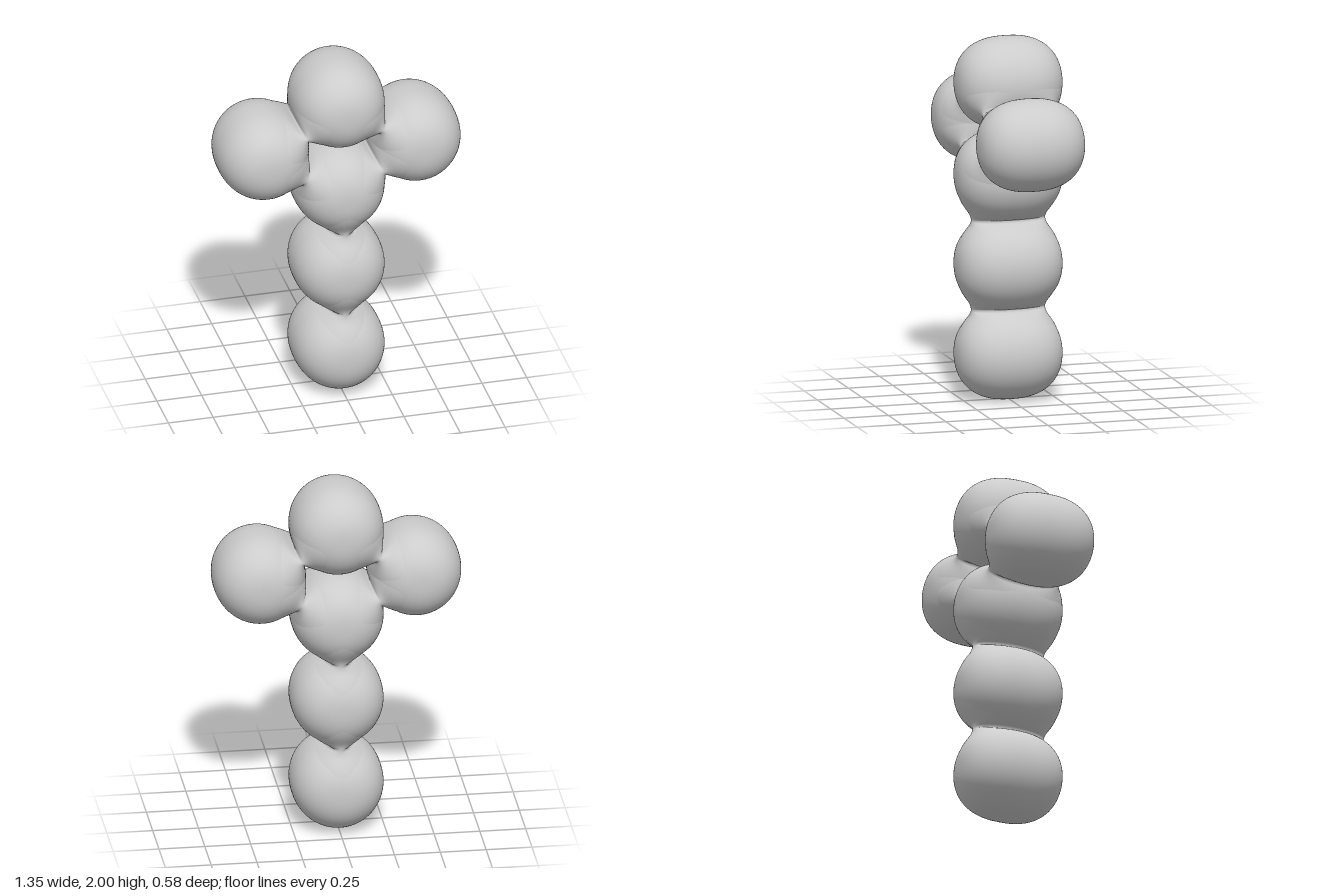
import * as THREE from 'three';

const R = 0.253;      // lobe radius across
const DEPTH = 0.291;  // lobe half depth along z
const N = 2.4;        // roundness of the lobe profile

// Half depth of a lobe at distance d from its axis
const lobeDepth = (d) => DEPTH * Math.pow(Math.max(0, 1 - Math.pow(d / R, N)), 1 / N);
// Smooth maximum of two lengths
const blend = (a, b, p) => Math.pow(Math.pow(a, p) + Math.pow(b, p), 1 / p);

// Slightly squared ellipsoid, round when seen along z
function lobeGeometry() {
  const profile = [];
  const steps = 48;
  for (let i = 0; i <= steps; i++) {
    const a = -Math.PI / 2 + (Math.PI * i) / steps;
    const c = Math.max(0, Math.cos(a));
    const s = Math.sin(a);
    profile.push(new THREE.Vector2(
      i === 0 || i === steps ? 0 : R * Math.pow(c, 2 / N),
      DEPTH * Math.sign(s) * Math.pow(Math.abs(s), 2 / N)
    ));
  }
  return new THREE.LatheGeometry(profile, 72).rotateX(Math.PI / 2);
}

// Saddle-shaped web: elliptical sections along y, pinched midway between two lobes
function neckGeometry(span) {
  const rows = 40, cols = 56, reach = 0.19;
  const positions = [], index = [];
  for (let i = 0; i <= rows; i++) {
    const t = -reach + (2 * reach * i) / rows;
    const d = span / 2 - Math.abs(t);
    const sink = 1 - 0.02 * Math.pow(Math.abs(t) / reach, 1.5);
    const halfWidth = blend(Math.sqrt(Math.max(0, R * R - d * d)), 0.048, 4) * sink;
    const halfDepth = blend(lobeDepth(d), 0.208, 8) * sink;
    for (let j = 0; j < cols; j++) {
      const a = (j / cols) * Math.PI * 2;
      positions.push(halfWidth * Math.sin(a), t, halfDepth * Math.cos(a));
    }
  }
  for (let i = 0; i < rows; i++) {
    for (let j = 0; j < cols; j++) {
      const k = (j + 1) % cols;
      const a = i * cols + j, b = i * cols + k;
      index.push(a, b, b + cols, a, b + cols, a + cols);
    }
  }
  const geometry = new THREE.BufferGeometry();
  geometry.setAttribute('position', new THREE.Float32BufferAttribute(positions, 3));
  geometry.setIndex(index);
  geometry.computeVertexNormals();
  return geometry;
}

export function createModel() {
  const model = new THREE.Group();
  model.name = 'lobedCross';
  const material = new THREE.MeshStandardMaterial({ color: 0xcccccc });

  const centres = {
    baseLobe: [0, R],
    stemLobe: [0, 0.747],
    middleLobe: [0, 1.239],
    topLobe: [0, 2 - R],
    leftLobe: [0.424, 1.482],
    rightLobe: [-0.424, 1.482],
  };

  // Lobes
  const shape = lobeGeometry();
  for (const [name, [x, y]] of Object.entries(centres)) {
    const lobe = new THREE.Mesh(shape, material);
    lobe.name = name;
    lobe.position.set(x, y, 0);
    model.add(lobe);
  }

  // Webs joining neighbouring lobes
  const joints = [
    ['lowerNeck', 'baseLobe', 'stemLobe'],
    ['upperNeck', 'stemLobe', 'middleLobe'],
    ['leftLowerNeck', 'middleLobe', 'leftLobe'],
    ['rightLowerNeck', 'middleLobe', 'rightLobe'],
    ['leftUpperNeck', 'leftLobe', 'topLobe'],
    ['rightUpperNeck', 'rightLobe', 'topLobe'],
  ];
  for (const [name, from, to] of joints) {
    const [x0, y0] = centres[from];
    const [x1, y1] = centres[to];
    const neck = new THREE.Mesh(neckGeometry(Math.hypot(x1 - x0, y1 - y0)), material);
    neck.name = name;
    neck.position.set((x0 + x1) / 2, (y0 + y1) / 2, 0);
    neck.rotation.z = Math.atan2(y1 - y0, x1 - x0) - Math.PI / 2;
    model.add(neck);
  }

  return model;
}
